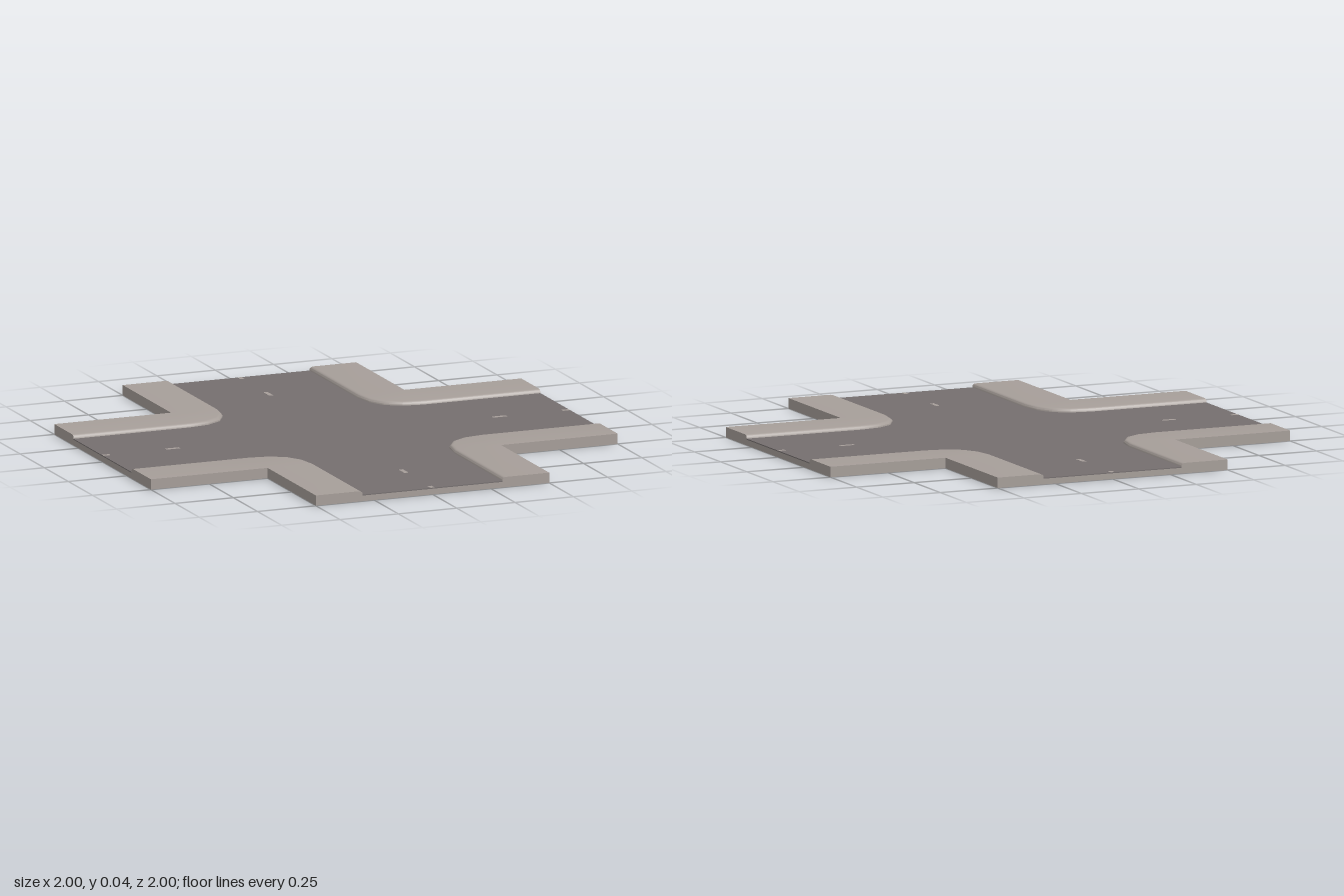
import * as THREE from 'three';
import { toCreasedNormals } from 'three/addons/utils/BufferGeometryUtils.js';

const SLAB = 0.023, ROAD = 0.027, TOP = 0.042;

// Kerb line of one corner as [x, z], from the front arm round to the left arm
const KERB = [[0.3, 1], [0.3, 0.5], [0.314, 0.415], [0.352, 0.352], [0.415, 0.314], [0.5, 0.3], [1, 0.3]];

// Kerb cross-section: [share of the way to the outer edge, height]
const PROFILE = [[0, SLAB], [0, 0.033], [0.02, 0.038], [0.045, 0.041], [0.08, TOP], [1, TOP], [1, SLAB]];

// Raised pavement of one corner, lofted from the kerb to the outer edge
function pavementGeometry() {
  const outer = KERB.map((p, i) => (i === 0 ? [0.5, 1] : i === KERB.length - 1 ? [1, 0.5] : [0.5, 0.5]));
  const sections = KERB.map(([x, z], i) => PROFILE.map(([t, y]) =>
    new THREE.Vector3(x + (outer[i][0] - x) * t, y, z + (outer[i][1] - z) * t)));
  const pos = [];
  const tri = (a, b, c) => {
    if (a.distanceTo(b) < 1e-6 || b.distanceTo(c) < 1e-6 || a.distanceTo(c) < 1e-6) return;
    for (const p of [a, b, c]) pos.push(p.x, p.y, p.z);
  };
  const last = sections.length - 1;
  for (let i = 0; i < last; i++) {
    for (let j = 0; j < PROFILE.length - 1; j++) {
      const a = sections[i][j], b = sections[i + 1][j];
      const c = sections[i + 1][j + 1], d = sections[i][j + 1];
      tri(a, d, c);
      tri(a, c, b);
    }
  }
  // End caps
  for (let j = 1; j < PROFILE.length - 1; j++) {
    tri(sections[0][0], sections[0][j + 1], sections[0][j]);
    tri(sections[last][0], sections[last][j], sections[last][j + 1]);
  }
  const geometry = new THREE.BufferGeometry();
  geometry.setAttribute('position', new THREE.Float32BufferAttribute(pos, 3));
  return toCreasedNormals(geometry, 0.7);
}

// Flat plate between two heights, from one corner's outline repeated four times
function plate(corner, y0, y1) {
  const points = [];
  for (let k = 0; k < 4; k++) {
    for (const [x, z] of corner) {
      points.push(new THREE.Vector2(x, z).rotateAround(new THREE.Vector2(), -k * Math.PI / 2));
    }
  }
  const geometry = new THREE.ExtrudeGeometry(new THREE.Shape(points), { depth: y1 - y0, bevelEnabled: false });
  return geometry.rotateX(-Math.PI / 2).translate(0, y0, 0);
}

export function createModel() {
  const group = new THREE.Group();
  const paving = new THREE.MeshStandardMaterial({ color: 0xa69e99 });
  paving.name = 'paving';
  const asphalt = new THREE.MeshStandardMaterial({ color: 0x756f6f });
  asphalt.name = 'asphalt';

  const add = (name, geometry, material, parent = group) => {
    const mesh = new THREE.Mesh(geometry, material);
    mesh.name = name;
    parent.add(mesh);
    return mesh;
  };

  // Cross-shaped base and the road surface between the kerbs
  add('baseSlab', plate([[0.5, 1], [0.5, 0.5], [1, 0.5]], 0, SLAB), paving);
  add('roadSurface', plate(KERB, SLAB, ROAD), asphalt);

  // Four pavement corners, and worn centre-line dashes on each arm
  const corner = pavementGeometry();
  const dash = new THREE.BoxGeometry(0.018, 0.001, 0.06);
  const endDash = new THREE.BoxGeometry(0.018, 0.001, 0.03);
  for (let k = 0; k < 4; k++) {
    const arm = new THREE.Group();
    arm.name = 'arm' + (k + 1);
    arm.rotation.y = k * Math.PI / 2;
    add('pavementCorner', corner, paving, arm);
    add('centreDash', dash, paving, arm).position.set(0, ROAD, 0.7);
    add('endDash', endDash, paving, arm).position.set(0, ROAD, 0.984);
    group.add(arm);
  }
  return group;
}
